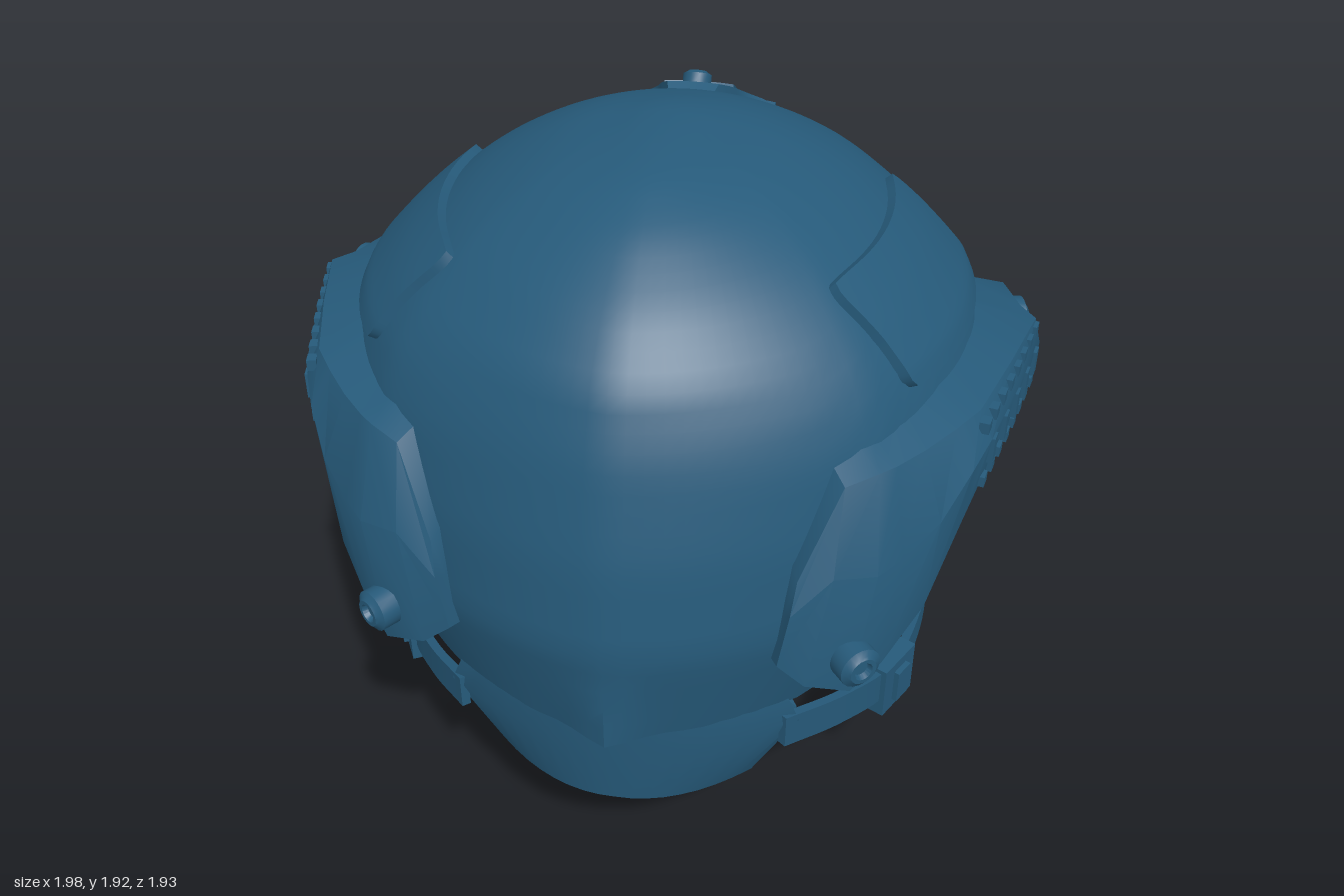
import * as THREE from 'three';
import { toCreasedNormals } from 'three/addons/utils/BufferGeometryUtils.js';

const V = (x, y, z) => new THREE.Vector3(x, y, z);
const { lerp } = THREE.MathUtils;
const paint = new THREE.MeshStandardMaterial({ color: 0x265a7a, side: THREE.DoubleSide });
paint.name = 'steel blue';

// Table lookup; p = 2 blends squares, which rounds the crown
function look(table, t, p = 1) {
  let i = 0;
  const up = table[0][0] < table[1][0];
  while (i < table.length - 2 && (up ? t > table[i + 1][0] : t < table[i + 1][0])) i++;
  const [a, b] = [table[i], table[i + 1]];
  const k = THREE.MathUtils.clamp((t - a[0]) / (b[0] - a[0]), 0, 1);
  return Math.pow(a[1] ** p * (1 - k) + b[1] ** p * k, 1 / p);
}

// Dome radius by height at the back (+z), the brow (-z) and the sides
const BACK = [[1.925, 0], [1.9, 0.35], [1.84, 0.51], [1.72, 0.69], [1.6, 0.8], [1.45, 0.865], [1.2, 0.93], [0.95, 0.96], [0.66, 0.905]];
const BROW = [[1.925, 0], [1.89, 0.22], [1.83, 0.4], [1.72, 0.61], [1.55, 0.77], [1.4, 0.855], [1.2, 0.935], [0.66, 0.95]];
const SIDE = [[1.925, 0], [1.907, 0.13], [1.875, 0.27], [1.76, 0.5], [1.64, 0.65], [1.52, 0.765], [1.38, 0.83], [1.15, 0.85], [0.9, 0.83], [0.66, 0.74]];
// Rim height by angle from the back, in degrees
const RIM = [[0, 0.66], [33, 0.66], [38, 0.685], [45, 0.765], [52, 0.89], [59, 1.03], [66, 1.12], [80, 1.16], [93, 1.12], [99, 1.02],
  [104, 0.95], [112, 0.93], [119, 0.98], [125, 1.12], [132, 1.18], [180, 1.2]];

const lift = (p, off) => p.add(p.clone().sub(V(0, 1.1, 0)).normalize().multiplyScalar(off));
function onDome(a, y, off = 0) {
  const s = Math.sin(a), c = Math.cos(a);
  const rz = look(c > 0 ? BACK : BROW, y, 2) + 1e-6, rs = look(SIDE, y, 2) + 1e-6;
  let r = 1 / Math.hypot(s / rs, c / rz);
  // Faint ridge down the back, ending in a flare above the nape
  if (c > Math.SQRT1_2) r -= 0.025 * r * Math.abs(Math.sin(4 * a));
  if (c > 0) r += 0.045 * Math.max(0, 1 - Math.abs(s) / 0.13) * Math.max(0, (0.9 - y) / 0.24);
  return lift(V(r * s, y, r * c), off);
}
const sideAt = (z, y) => V(look(SIDE, y, 2) * Math.sqrt(1 - (z / look(z > 0 ? BACK : BROW, y, 2)) ** 2), y, z);
const browAt = (x, y) => V(x, y, -look(BROW, y, 2) * Math.sqrt(Math.max(0, 1 - (x / look(SIDE, y, 2)) ** 2)));

// Surface through rows of points; wrap closes each row into a loop
function skin(rows, wrap = false, crease = 0.6) {
  const n = rows[0].length, index = [];
  for (let j = 0; j < rows.length - 1; j++)
    for (let i = 0; i < (wrap ? n : n - 1); i++) {
      const a = j * n + i, b = j * n + (i + 1) % n;
      index.push(a, a + n, b, b, a + n, b + n);
    }
  const g = new THREE.BufferGeometry().setFromPoints(rows.flat());
  g.setIndex(index);
  return toCreasedNormals(g, crease);
}
// Solid through cross-section loops, capped at both ends
function loft(loops) {
  const cap = l => { const c = V(0, 0, 0); l.forEach(p => c.addScaledVector(p, 1 / l.length)); return l.map(() => c.clone()); };
  return skin([cap(loops[0]), ...loops, cap(loops[loops.length - 1])], true);
}
// Raised plate over the dome, f(u, v) giving the point beneath it
function plate(nu, nv, f, off) {
  const rows = [];
  for (let j = -1; j <= nv + 1; j++) {
    const row = [];
    for (let i = -1; i <= nu + 1; i++) {
      const edge = i < 0 || j < 0 || i > nu || j > nv;
      const q = (k, n) => k < 0 ? 0 : k > n ? 1 : 0.025 + 0.95 * k / n;
      row.push(lift(f(q(i, nu), q(j, nv)), edge ? -0.02 : off));
    }
    rows.push(row);
  }
  return skin(rows);
}
// Flat strap along a smooth path; w is the direction across it
function strap(points, w, width, thick = 0.024) {
  const curve = new THREE.CatmullRomCurve3(points.map(p => V(...p))), loops = [];
  const across = V(...w).normalize().multiplyScalar(width / 2);
  for (let i = 0; i <= 28; i++) {
    const p = curve.getPoint(i / 28);
    const t = curve.getTangent(i / 28).cross(across).normalize().multiplyScalar(thick / 2);
    loops.push([[1, 1], [1, -1], [-1, -1], [-1, 1]].map(([a, b]) => p.clone().addScaledVector(across, a).addScaledVector(t, b)));
  }
  return loft(loops);
}
function add(parent, name, geometry) {
  const m = new THREE.Mesh(geometry, paint);
  m.name = name;
  parent.add(m);
  return m;
}
// Round boss with a raised centre, facing along dir
function bolt(parent, name, pos, dir, r, h) {
  const pts = [[0, h * 0.7], [r * 0.35, h * 0.7], [r * 0.45, h * 1.2], [r * 0.65, h * 1.2], [r * 0.75, h], [r, h * 0.7], [r, -h]];
  const g = new THREE.LatheGeometry(pts.map(p => new THREE.Vector2(...p)), 20);
  const m = add(parent, name, toCreasedNormals(g, 0.5));
  m.position.copy(pos);
  m.quaternion.setFromUnitVectors(V(0, 1, 0), dir.clone().normalize());
}
function box(parent, name, size, pos, yaw = 0) {
  const m = add(parent, name, new THREE.BoxGeometry(...size));
  m.position.set(...pos);
  m.rotation.y = yaw;
}

function makeShell(parent) {
  const rows = [], N = 120, M = 36;
  const ring = (t, off) => Array.from({ length: N }, (_, i) => {
    const a = i / N * Math.PI * 2, deg = THREE.MathUtils.radToDeg(Math.min(a, Math.PI * 2 - a));
    const rim = look(RIM, deg);
    return onDome(a, 1.925 - (1.925 - rim) * (1 - Math.cos(t * Math.PI / 2)) ** 1.1, off);
  });
  for (let j = 0; j <= M; j++) rows.push(ring(j / M, 0));
  for (let j = M; j >= 0; j--) rows.push(ring(j / M, -0.05));
  add(parent, 'helmetShell', skin(rows, true, 0.7));
}

function makeNapePad(parent) {
  const loops = [];
  for (let i = -8; i <= 8; i++) {
    const u = i / 8, z = 0.9 - 0.17 * u * u, low = 0.385 - 0.015 * Math.abs(u);
    const p = (w, y, d) => V(u * w, y, z + d);
    loops.push([p(0.41, 0.72, -0.01), p(0.46, 0.6, -0.015), p(0.34, low, -0.04),
      p(0.33, low, -0.075), p(0.45, 0.6, -0.06), p(0.39, 0.72, -0.06)]);
  }
  add(parent, 'napePad', loft(loops));
}

// Rail stations: outer x, z, top y, bottom y, inward lean of the top, swing of the top toward the side
const RAIL = [[0.41, 0.86, 1.18, 0.88, 0.97, 0.05], [0.48, 0.865, 1.4, 0.83, 0.91, 0.12], [0.59, 0.83, 1.42, 0.8, 0.9, 0.1],
  [0.66, 0.76, 1.42, 0.84, 0.91, 0.06], [0.75, 0.66, 1.43, 0.95, 0.92, 0.02], [0.82, 0.54, 1.44, 1.12, 0.94, 0],
  [0.86, 0.45, 1.45, 1.19, 0.96, 0], [0.93, 0.2, 1.45, 1.2, 0.97, 0], [0.99, -0.05, 1.44, 1.17, 0.98, 0],
  [0.965, -0.15, 1.42, 1.03, 0.97, 0], [0.93, -0.3, 1.41, 1.0, 0.96, 0], [0.84, -0.4, 1.36, 1.08, 0.97, 0], [0.76, -0.46, 1.28, 1.16, 0.98, 0]];

function makeSide(parent) {
  add(parent, 'sideRail', loft(RAIL.map(([x, z, top, bot, lean, swing]) => {
    const a = Math.atan2(x, z), r = Math.hypot(x, z);
    const out = (k, y, da) => V(r * k * Math.sin(a + da), y, r * k * Math.cos(a + da));
    return [onDome(a + swing, top, -0.02), out(lean, top - 0.04, swing), out(1 - swing * 0.15, lerp(top, bot, 0.42), swing / 2),
      out(0.985, bot + 0.02, 0), onDome(a, bot, -0.03)];
  })));
  // Rail teeth
  const railX = z => look(RAIL.slice(5, 9).map(s => [s[1], s[0]]), z);
  for (let i = 0; i < 5; i++) {
    const z = 0.43 - i * 0.105;
    box(parent, 'railSlot', [0.025, 0.07, 0.035], [railX(z) - 0.006, 1.305, z], -0.22);
  }
  for (let i = 0; i < 8; i++) {
    const z = 0.45 - i * 0.068;
    box(parent, 'railTooth', [0.025, 0.03, 0.035], [railX(z) - 0.02, 1.38, z], -0.22);
    box(parent, 'railTooth', [0.025, 0.028, 0.035], [railX(z) - 0.014, 1.225, z], -0.22);
  }
  // Pivot and ear cover
  bolt(parent, 'railPivot', V(0.93, 1.3, -0.21), V(1, 0, -0.28), 0.065, 0.025);
  const cover = add(parent, 'earCover', new THREE.CylinderGeometry(0.125, 0.16, 0.06, 24));
  cover.position.set(0.88, 1.14, -0.28);
  cover.quaternion.setFromUnitVectors(V(0, 1, 0), V(1, -0.1, -0.3).normalize());
  bolt(parent, 'railBolt', V(0.59, 0.92, 0.825), V(0.6, 0, 0.8), 0.055, 0.028);
  // Side pad with rounded corners
  add(parent, 'sidePad', plate(14, 14, (u, v) => {
    const inset = (s, t) => 0.5 + (s - 0.5) * (1 - 0.07 * Math.abs(2 * t - 1) ** 8);
    const y = 1.47 + 0.25 * inset(v, u);
    return sideAt(lerp(-0.2, 0.5 - 0.04 * v, inset(u, v)), y);
  }, 0.022));
  // Harness straps and buckles
  add(parent, 'earStrap', strap([[0.77, 1.05, -0.21], [0.77, 0.8, -0.21], [0.76, 0.6, -0.22], [0.76, 0.4, -0.22]], [0, 0, 1], 0.11));
  box(parent, 'earBuckle', [0.05, 0.17, 0.15], [0.775, 0.84, -0.21]);
  const barrel = add(parent, 'earBuckleBar', new THREE.CylinderGeometry(0.055, 0.055, 0.12, 12));
  barrel.position.set(0.78, 0.83, -0.21);
  barrel.rotation.x = Math.PI / 2;
  add(parent, 'napeStrap', strap([[0.42, 0.58, 0.74], [0.56, 0.52, 0.57], [0.68, 0.47, 0.38], [0.75, 0.43, 0.1], [0.77, 0.42, -0.12], [0.76, 0.43, -0.25]], [0, 1, 0], 0.1));
  box(parent, 'napeBuckle', [0.06, 0.16, 0.15], [0.685, 0.465, 0.37], -0.5);
  box(parent, 'napeBuckleBar', [0.09, 0.1, 0.06], [0.685, 0.465, 0.37], -0.5);
  // Mount lobe bolt
  const p = lift(browAt(0.385, 1.515), 0.035);
  bolt(parent, 'mountBolt', p, p.clone().sub(V(0, 1.1, 0)), 0.042, 0.016);
}

function makeChinStraps(parent) {
  const both = half => [...half, ...half.slice(0, -1).reverse().map(([x, y, z]) => [-x, y, z])];
  const w = [0, 0.83, -0.56];
  add(parent, 'upperChinStrap', strap(both([[0.77, 0.49, -0.2], [0.72, 0.39, -0.36], [0.6, 0.28, -0.52], [0.33, 0.195, -0.68], [0, 0.17, -0.74]]), w, 0.085, 0.032));
  add(parent, 'lowerChinStrap', strap(both([[0.76, 0.47, -0.2], [0.69, 0.35, -0.4], [0.58, 0.18, -0.52], [0.33, 0.08, -0.64], [0, 0.045, -0.69]]), w, 0.085, 0.032));
}

function makeFrontMount(parent) {
  // Half width of the base plate by height
  const W = [[1.31, 0.24], [1.37, 0.26], [1.42, 0.3], [1.45, 0.4], [1.5, 0.45], [1.56, 0.43], [1.62, 0.33], [1.7, 0.22], [1.76, 0.13], [1.81, 0.1], [1.85, 0.06]];
  add(parent, 'mountBase', plate(16, 24, (u, v) => {
    const y = 1.31 + 0.54 * v;
    return browAt((2 * u - 1) * look(W, y), y);
  }, 0.02));
  const strip = (name, x0, x1, y0, y1, off) => add(parent, name,
    plate(6, 6, (u, v) => browAt(x0 + (x1 - x0) * u, y0 + (y1 - y0) * v), off));
  for (const s of [-1, 1]) {
    strip('mountRib', s * 0.12, s * 0.2, 1.36, 1.7, 0.035);
    strip('mountPost', s * 0.19, s * 0.27, 1.32, 1.44, 0.06);
  }
  strip('mountCrossbar', -0.12, 0.12, 1.64, 1.7, 0.03);
  strip('mountTongue', -0.1, 0.1, 1.71, 1.79, 0.03);
  strip('mountLowerBar', -0.26, 0.26, 1.31, 1.37, 0.08);
  bolt(parent, 'mountTopBolt', lift(browAt(0, 1.81), 0.03), V(0, 0.85, -0.5), 0.04, 0.018);
}

export function createModel() {
  const root = new THREE.Group();
  root.name = 'helmet';
  makeShell(root);
  makeNapePad(root);
  makeChinStraps(root);
  makeFrontMount(root);
  for (const s of [1, -1]) {
    const side = new THREE.Group();
    side.name = s > 0 ? 'leftSide' : 'rightSide';
    makeSide(side);
    side.scale.x = s;
    root.add(side);
  }
  return root;
}
